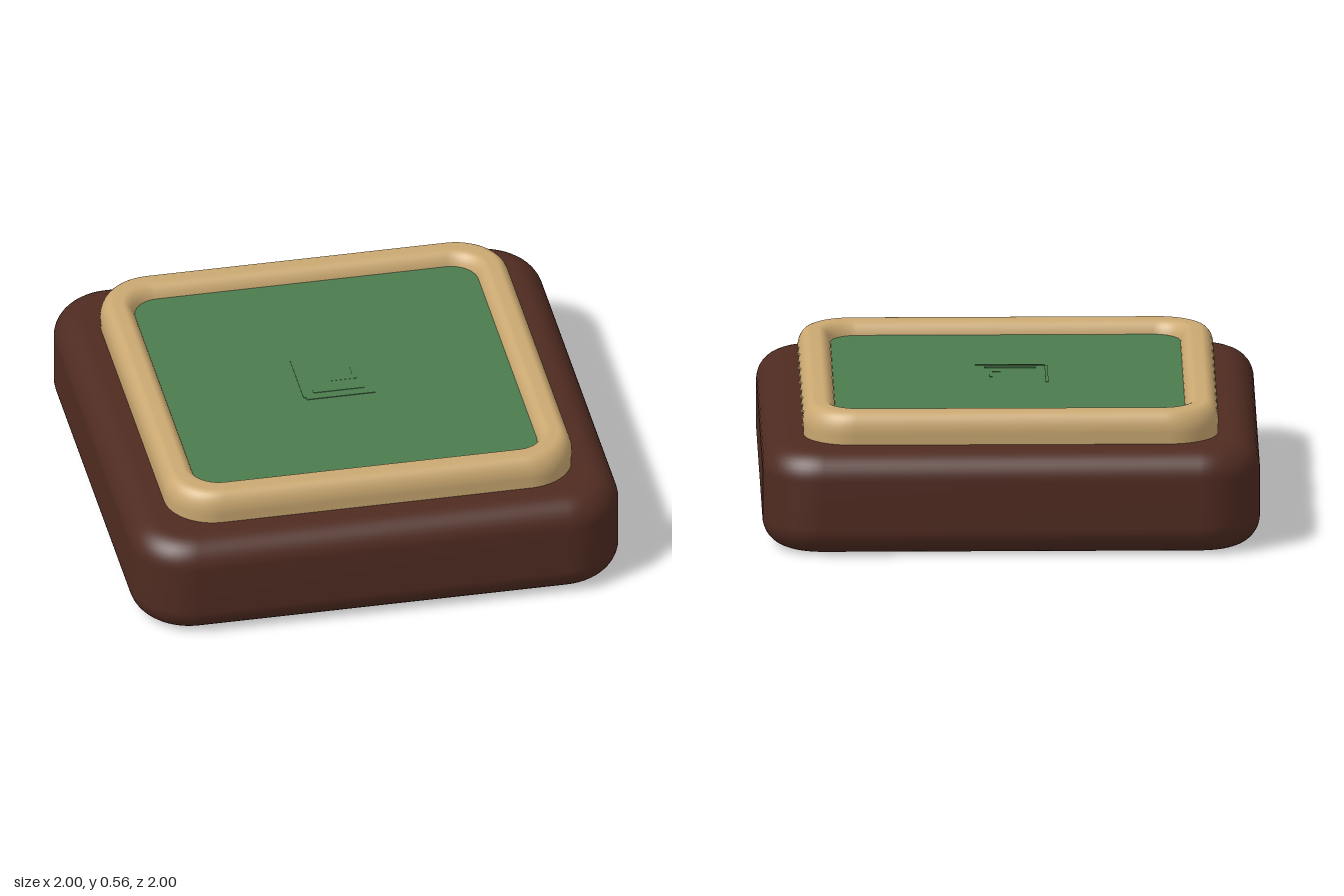
import * as THREE from 'three';

const CORNER_STEPS = 12;

// Rounded-square outline: `half` is the half width, `core` the corner-arc centre.
function outline(half, core) {
  const c = Math.min(core, half), r = half - c, points = [];
  for (let q = 0; q < 4; q++) {
    const sx = q === 0 || q === 3 ? 1 : -1, sz = q < 2 ? 1 : -1;
    for (let i = 0; i <= CORNER_STEPS; i++) {
      const a = (q + i / CORNER_STEPS) * Math.PI / 2;
      points.push([sx * c + r * Math.cos(a), sz * c + r * Math.sin(a)]);
    }
  }
  return points;
}

// Sweeps a [half width, y] profile (bottom outside to top inside) around the square;
// the corner centre blends from the first profile point to the last.
function loft(profile, coreStart, coreEnd = coreStart) {
  const positions = [], index = [], n = 4 * (CORNER_STEPS + 1), last = profile.length - 1;
  profile.forEach(([half, y], j) => {
    const core = THREE.MathUtils.lerp(coreStart, coreEnd, j / last);
    outline(half, core).forEach(([x, z]) => positions.push(x, y, z));
  });
  for (let j = 0; j < last; j++) {
    for (let i = 0; i < n; i++) {
      const a = j * n + i, b = j * n + (i + 1) % n;
      index.push(a, a + n, b, b, a + n, b + n);
    }
  }
  const geometry = new THREE.BufferGeometry();
  geometry.setAttribute('position', new THREE.Float32BufferAttribute(positions, 3));
  geometry.setIndex(index);
  geometry.computeVertexNormals();
  return geometry;
}

// Elliptical arc of profile points.
function arc(cx, cy, rx, ry, from, to, steps) {
  return Array.from({ length: steps + 1 }, (_, i) => {
    const a = from + (to - from) * i / steps;
    return [cx + rx * Math.cos(a), cy + ry * Math.sin(a)];
  });
}

export function createModel() {
  const group = new THREE.Group();
  const material = (name, color) => {
    const m = new THREE.MeshStandardMaterial({ color });
    m.name = name;
    return m;
  };
  const add = (name, geometry, mat) => {
    const mesh = new THREE.Mesh(geometry, mat);
    mesh.name = name;
    group.add(mesh);
    return mesh;
  };
  const half = Math.PI / 2;
  const green = material('green', 0x4b7b4d);

  // Soft-edged block with closed underside and top
  add('base', loft([
    [0, 0], [0.86, 0],
    ...arc(0.885, 0.115, 0.115, 0.115, -half, 0, 10),
    ...arc(0.885, 0.31, 0.115, 0.115, 0, half, 10),
    [0.86, 0.425], [0, 0.425],
  ], 0.755), material('dark brown', 0x4f2b21));

  // Padded raised border
  add('rim', loft([
    [0.833, 0.41],
    ...arc(0.785, 0.475, 0.051, 0.08, -0.2, half, 10),
    ...arc(0.75, 0.475, 0.05, 0.08, half, Math.PI, 10),
    [0.70, 0.42],
  ], 0.635, 0.585), material('tan', 0xcaa871));

  // Slightly crowned inset panel
  add('panel', loft([[0.715, 0.501], [0.7, 0.502], [0, 0.515]], 0.59), green);

  // Faint nested corner ridges at the panel's middle: [x, z, width, depth]
  [
    [-0.155, 0, 0.012, 0.28], [-0.01, 0.15, 0.28, 0.012], [-0.01, 0.105, 0.21, 0.016],
    [0.07, -0.01, 0.012, 0.09], [0.02, 0.035, 0.11, 0.012],
  ].forEach(([x, z, w, d]) => {
    add('panelRidge', new THREE.BoxGeometry(w, 0.006, d), green).position.set(x, 0.512, z);
  });

  return group;
}
